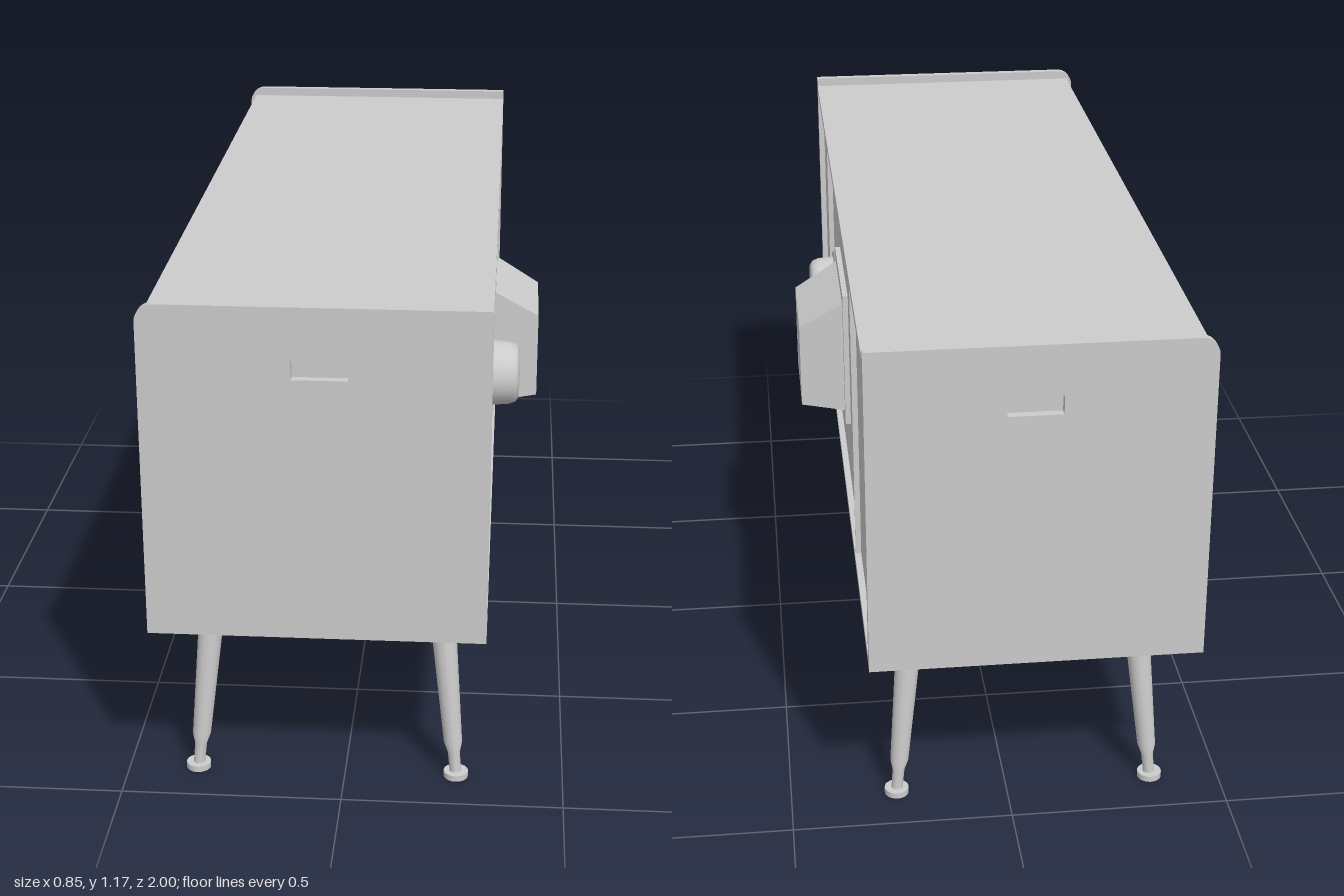
import * as THREE from 'three';

const flat = new THREE.MeshStandardMaterial({ color: 0xcccccc });
const thin = new THREE.MeshStandardMaterial({ color: 0xcccccc, side: THREE.DoubleSide });

// Lofts rings [halfZ, halfY, x, exponent] into a surface facing -x
function loft(rings, cy, cz, perSide = 16) {
  const outline = [];
  for (let s = 0; s < 4; s++) {
    for (let i = 0; i < perSide; i++) {
      const t = -1 + (2 * i) / perSide;
      outline.push([[t, -1], [1, t], [-t, 1], [-1, -t]][s]);
    }
  }
  const n = outline.length, pos = [], idx = [];
  rings.forEach(([hz, hy, x, e], r) => {
    outline.forEach(([u, v], i) => {
      const k = e ? Math.pow(Math.abs(u) ** e + Math.abs(v) ** e, -1 / e) : 1;
      pos.push(x, cy + v * k * hy, cz + u * k * hz);
      if (r === 0) return;
      const a = (r - 1) * n + i, b = (r - 1) * n + (i + 1) % n;
      idx.push(a, b, a + n, b, b + n, a + n);
    });
  });
  const g = new THREE.BufferGeometry();
  g.setAttribute('position', new THREE.Float32BufferAttribute(pos, 3));
  g.setIndex(idx);
  g.computeVertexNormals();
  return g;
}

export function createModel() {
  const model = new THREE.Group();
  model.name = 'televisionConsole';
  const add = (name, geo, mat = flat) => {
    const m = new THREE.Mesh(geo, mat);
    m.name = name;
    model.add(m);
    return m;
  };
  const box = (name, x0, x1, y0, y1, z0, z1) => {
    const m = add(name, new THREE.BoxGeometry(x1 - x0, y1 - y0, z1 - z0));
    m.position.set((x0 + x1) / 2, (y0 + y1) / 2, (z0 + z1) / 2);
    return m;
  };
  // Turned part whose axis points along dir * x
  const turned = (name, profile, x, y, z, dir) => {
    const m = add(name, new THREE.LatheGeometry(profile.map(p => new THREE.Vector2(...p)), 32));
    m.rotation.z = -dir * Math.PI / 2;
    m.position.set(x, y, z);
    return m;
  };

  // Cabinet
  box('cabinetCore', -0.33, 0.305, 0.43, 1.13, -0.98, 0.98);
  box('topBoard', -0.41, 0.32, 1.13, 1.15, -0.98, 0.98);
  box('bottomBoard', -0.42, 0.32, 0.41, 0.43, -0.98, 0.98);

  // Side boards with a rounded front corner and a grip slot
  const side = new THREE.Shape();
  side.moveTo(-0.425, 0.408).lineTo(0.32, 0.408).lineTo(0.32, 1.172).lineTo(-0.385, 1.172);
  side.absarc(-0.385, 1.132, 0.04, Math.PI / 2, Math.PI, false);
  side.closePath();
  const slot = new THREE.Path();
  slot.moveTo(-0.1, 1.012).lineTo(-0.1, 1.055).lineTo(0.02, 1.055).lineTo(0.02, 1.012).closePath();
  side.holes.push(slot);
  const sideGeo = new THREE.ExtrudeGeometry(side, { depth: 0.02, bevelEnabled: false, curveSegments: 10 });
  for (const z of [-1, 0.98]) add('sideBoard', sideGeo).position.z = z;

  // Splayed legs with a stepped tip and a foot disc
  const legGeo = new THREE.LatheGeometry([[0.013, 0], [0.014, 0.06], [0.021, 0.085], [0.03, 0.41]]
    .map(p => new THREE.Vector2(...p)), 24);
  for (const sx of [-1, 1]) {
    for (const sz of [-1, 1]) {
      const geo = legGeo.clone(), p = geo.attributes.position;
      for (let i = 0; i < p.count; i++) {
        const t = p.getY(i) / 0.41;
        p.setX(i, p.getX(i) - 0.0425 + sx * (0.298 - 0.038 * t));
        p.setZ(i, p.getZ(i) + sz * (0.88 - 0.04 * t));
      }
      geo.computeVertexNormals();
      add('leg', geo);
      add('foot', new THREE.CylinderGeometry(0.028, 0.028, 0.014, 24))
        .position.set(-0.0425 + sx * 0.298, 0.007, sz * 0.88);
    }
  }

  // Rear panel: dividers, pull tabs, tube housing, round cap
  for (const s of [-1, 1]) {
    box('rearDivider', 0.304, 0.318, 0.43, 1.13, s * 0.505 - 0.004, s * 0.505 + 0.004);
    box('rearTab', 0.304, 0.315, 1.1, 1.13, s * 0.715 - 0.095, s * 0.715 + 0.095);
    box('rearEdge', 0.304, 0.32, 0.43, 1.13, s * 0.975 - 0.005, s * 0.975 + 0.005);
  }
  box('housingPlate', 0.304, 0.318, 0.612, 0.958, -0.17, 0.17);
  const housing = box('tubeHousing', 0.315, 0.425, 0.64, 0.93, -0.147, 0.147);
  const hp = housing.geometry.attributes.position;
  for (let i = 0; i < hp.count; i++) {
    if (hp.getX(i) < 0) continue;
    hp.setY(i, (hp.getY(i) > 0 ? 0.865 : 0.655) - housing.position.y);
    hp.setZ(i, Math.sign(hp.getZ(i)) * 0.133);
  }
  housing.geometry = housing.geometry.toNonIndexed();
  housing.geometry.computeVertexNormals();
  turned('capPlate', [[0.092, 0], [0.092, 0.012], [0, 0.012]], 0.305, 0.787, 0.33, 1);
  turned('roundCap', [[0.079, 0], [0.075, 0.045], [0.069, 0.06], [0.057, 0.068], [0, 0.069]], 0.312, 0.787, 0.33, 1);

  // Front rails and uprights
  const y0 = 0.465, y1 = 1.11;
  box('lowerRail', -0.395, -0.32, 0.43, y0, -0.98, 0.98);
  box('upperRail', -0.395, -0.32, y1, 1.13, -0.98, 0.98);
  for (const [a, b] of [[-0.98, -0.96], [-0.835, -0.81], [-0.645, -0.62], [-0.455, -0.435],
    [0.42, 0.44], [0.58, 0.61], [0.965, 0.98]]) {
    box('upright', -0.395, -0.32, y0, y1, a, b);
  }

  // Speaker grilles: tilted louvres, then upright slats
  for (const [a, b] of [[-0.96, -0.835], [-0.81, -0.645]]) {
    for (let i = 0; i < 13; i++) {
      const y = y0 + 0.025 + i * 0.0496;
      box('louvre', -0.385, -0.345, y - 0.012, y + 0.012, a, b).rotation.z = 0.35;
    }
  }
  for (let i = 0; i < 5; i++) {
    const z = -0.605 + i * 0.034;
    box('slat', -0.39, -0.33, y0, y1, z - 0.009, z + 0.009);
  }

  // Picture tube: dished surround and bulging glass
  const cy = (y0 + y1) / 2, cz = -0.0075;
  add('screenSurround', loft([[0.4275, 0.3225, -0.39, 0], [0.415, 0.31, -0.39, 0],
    [0.4, 0.297, -0.378, 14], [0.37, 0.287, -0.357, 8], [0.345, 0.278, -0.338, 5]], cy, cz), thin);
  const glass = [];
  for (let i = 0; i <= 8; i++) {
    const s = Math.max(Math.cos((i / 8) * Math.PI / 2), 0.001);
    glass.push([0.345 * s, 0.278 * s, -0.338 - 0.035 * (1 - s * s), 5]);
  }
  add('screenGlass', loft(glass, cy, cz), thin);

  // Control strip with three small knobs and a jack
  box('controlStrip', -0.388, -0.32, y0, y1, 0.445, 0.575);
  for (const y of [0.99, 0.89, 0.79]) {
    turned('smallKnob', [[0.026, 0], [0.026, 0.008], [0.017, 0.01], [0.015, 0.032], [0, 0.034]], -0.387, y, 0.52, -1);
  }
  turned('jack', [[0.009, 0], [0.009, 0.005], [0, 0.005]], -0.387, 0.5, 0.51, -1);

  // Tuner panels with a dial
  box('tunerPanel', -0.388, -0.32, 0.75, 1.1, 0.62, 0.955);
  box('panelBar', -0.395, -0.32, 0.725, 0.742, 0.61, 0.965);
  box('lowerPanel', -0.388, -0.32, 0.475, 0.715, 0.62, 0.955);
  box('panelBacking', -0.38, -0.32, y0, y1, 0.61, 0.965);
  turned('tunerDial', [[0.066, 0], [0.066, 0.008], [0.056, 0.013], [0, 0.013]], -0.387, 1.01, 0.795, -1);
  box('dialGrip', -0.418, -0.395, 0.957, 1.063, 0.783, 0.807).rotation.x = 0.15;

  return model;
}
